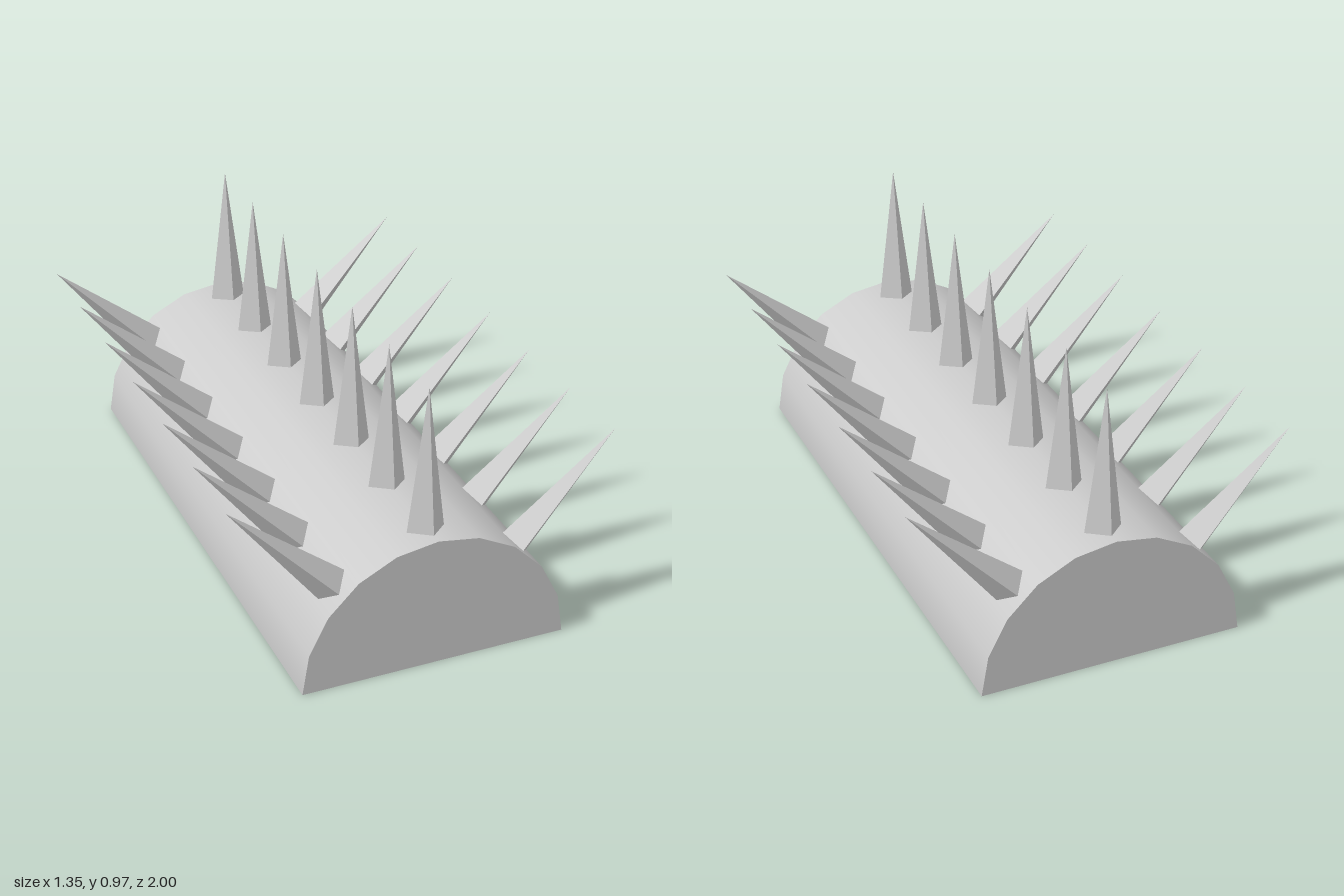
import * as THREE from 'three';

export function createModel() {
  const group = new THREE.Group();

  // Half-round shell with closed ends and an open underside
  const shellGeo = new THREE.CylinderGeometry(0.465, 0.465, 2, 10, 1, false, Math.PI / 2, Math.PI);
  shellGeo.rotateX(Math.PI / 2);
  const shell = new THREE.Mesh(
    shellGeo,
    new THREE.MeshStandardMaterial({ color: 0xcccccc, side: THREE.DoubleSide })
  );
  shell.name = 'halfRoundShell';
  group.add(shell);

  // Four-sided spikes whose bases poke through to the inside of the shell
  const length = 0.55;
  const spikeGeo = new THREE.ConeGeometry(0.07, length, 4);
  const spikeMat = new THREE.MeshStandardMaterial({ color: 0xcccccc, flatShading: true });
  const rows = [
    { name: 'leftSpikes', angle: -Math.PI / 4, tip: 0.952 },
    { name: 'topSpikes', angle: 0, tip: 0.97 },
    { name: 'rightSpikes', angle: Math.PI / 4, tip: 0.952 },
  ];
  for (const { name, angle, tip } of rows) {
    const row = new THREE.Group();
    row.name = name;
    row.rotation.z = angle;
    for (const z of [-0.9, -0.61, -0.31, 0, 0.305, 0.6, 0.9]) {
      const spike = new THREE.Mesh(spikeGeo, spikeMat);
      spike.name = 'spike';
      spike.position.set(0, tip - length / 2, z);
      row.add(spike);
    }
    group.add(row);
  }
  return group;
}
